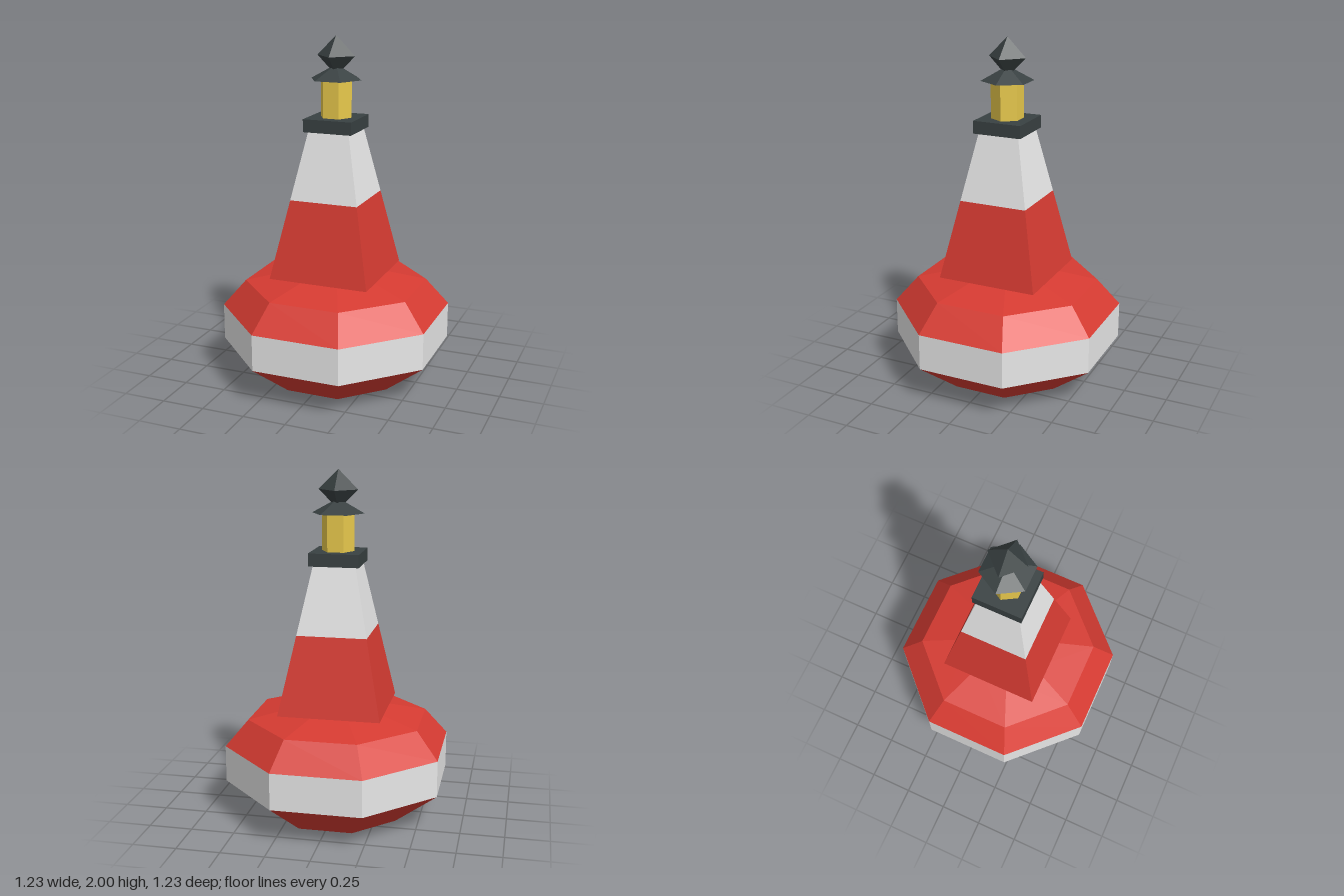
import * as THREE from 'three';

const makeMaterial = (name, color, side = THREE.FrontSide) => {
  const m = new THREE.MeshStandardMaterial({ color, flatShading: true, side });
  m.name = name;
  return m;
};

export function createModel() {
  const group = new THREE.Group();
  group.name = 'buoy';

  // the hull is an open shell, so its two colours are double sided
  const red = makeMaterial('red', 0xd63b32, THREE.DoubleSide);
  const white = makeMaterial('white', 0xe8e8e8, THREE.DoubleSide);
  const dark = makeMaterial('darkGrey', 0x394142);
  const yellow = makeMaterial('yellow', 0xe8c94c);

  const add = (name, geometry, material, y = 0) => {
    const mesh = new THREE.Mesh(geometry, material);
    mesh.name = name;
    mesh.position.y = y;
    group.add(mesh);
  };

  // octagonal hull section; points are [distance to flat side, height]
  const hull = (name, points, material) => {
    const k = 1 / Math.cos(Math.PI / 8);
    const profile = points.map(([r, y]) => new THREE.Vector2(r * k, y));
    add(name, new THREE.LatheGeometry(profile, 8, Math.PI / 8), material);
  };
  hull('hullBottom', [[0.37, 0], [0.615, 0.21]], red);
  hull('hullBand', [[0.615, 0.21], [0.615, 0.422]], white);
  hull('hullTop', [[0.615, 0.422], [0.49, 0.575], [0.22, 0.638], [0, 0.638]], red);

  // tapered prism between two heights, from half width or corner radius
  const prism = (name, sides, r0, r1, y0, y1, material, open = false) => {
    const geometry = new THREE.CylinderGeometry(r1, r0, y1 - y0, sides, 1, open, Math.PI / sides);
    add(name, geometry, material, (y0 + y1) / 2);
  };

  // square tower in two colours
  const d = Math.SQRT2;
  prism('towerLower', 4, 0.293 * d, 0.2 * d, 0.637, 1.088, red);
  prism('towerUpper', 4, 0.2 * d, 0.12 * d, 1.088, 1.476, white, true);

  // deck, lantern, roof and topmark
  add('deck', new THREE.BoxGeometry(0.286, 0.073, 0.286), dark, 1.509);
  prism('lantern', 6, 0.093, 0.093, 1.545, 1.757, yellow);
  prism('roof', 6, 0.15, 0, 1.757, 1.84, dark);
  add('topmark', new THREE.OctahedronGeometry(0.112), dark, 1.888);

  return group;
}
